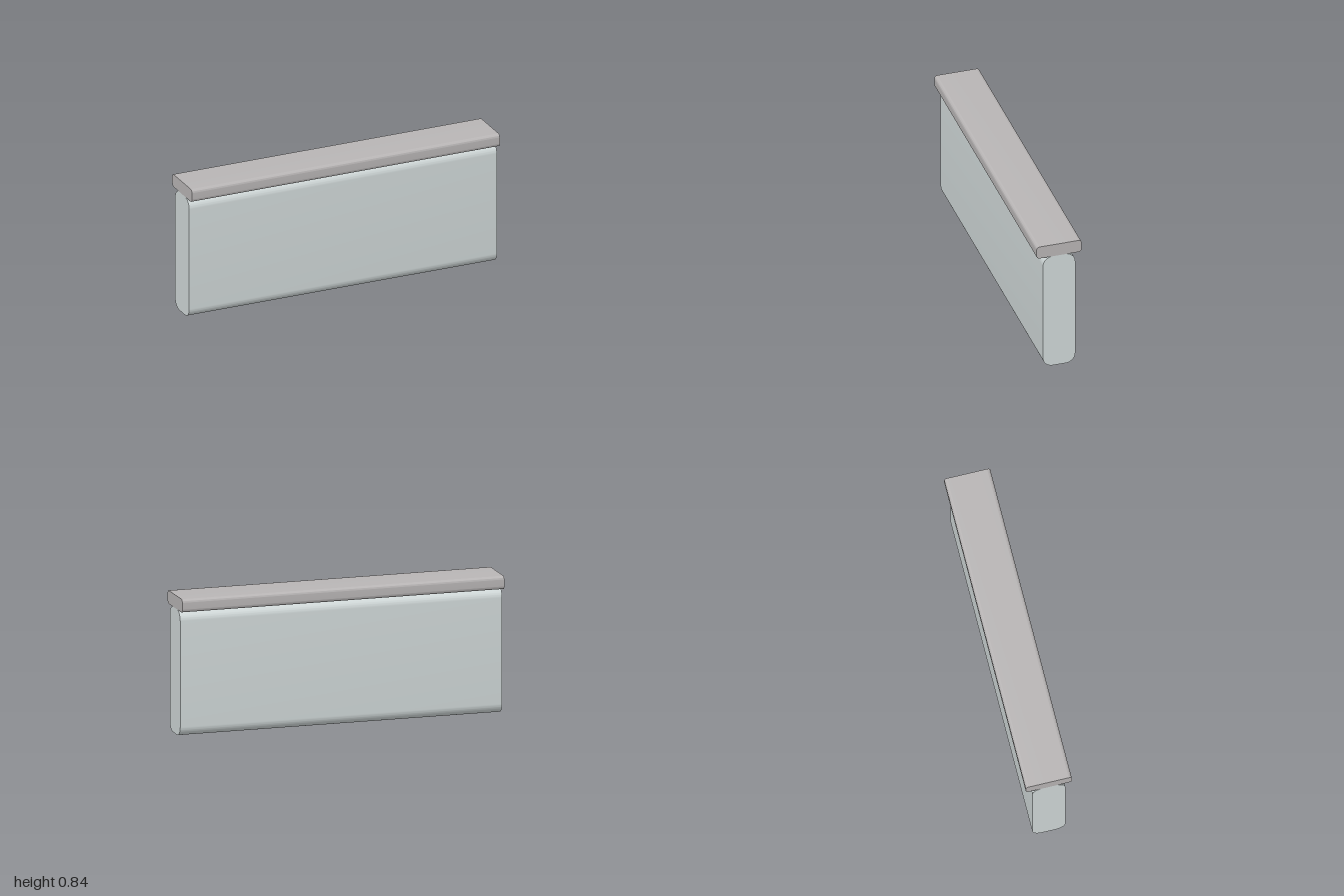
import * as THREE from 'three';
import { toCreasedNormals } from 'three/addons/utils/BufferGeometryUtils.js';

const LENGTH = 2;

// Cross-section with four rounded corners, centred on z and standing on y0
function roundedProfile(width, y0, y1, r) {
  const w = width / 2;
  const s = new THREE.Shape();
  s.moveTo(-w + r, y0);
  s.lineTo(w - r, y0);
  s.absarc(w - r, y0 + r, r, -Math.PI / 2, 0);
  s.lineTo(w, y1 - r);
  s.absarc(w - r, y1 - r, r, 0, Math.PI / 2);
  s.lineTo(-w + r, y1);
  s.absarc(-w + r, y1 - r, r, Math.PI / 2, Math.PI);
  s.lineTo(-w, y0 + r);
  s.absarc(-w + r, y0 + r, r, Math.PI, Math.PI * 1.5);
  return s;
}

// Bar running along x with flat ends
function bar(name, color, width, y0, y1, r) {
  const extruded = new THREE.ExtrudeGeometry(roundedProfile(width, y0, y1, r), {
    depth: LENGTH, bevelEnabled: false, curveSegments: 8,
  });
  extruded.translate(0, 0, -LENGTH / 2).rotateY(Math.PI / 2);
  const mesh = new THREE.Mesh(
    toCreasedNormals(extruded, Math.PI / 6),
    new THREE.MeshStandardMaterial({ color }),
  );
  mesh.name = name;
  return mesh;
}

export function createModel() {
  const model = new THREE.Group();
  model.name = 'wall';
  // Upright wall panel
  model.add(bar('wallPanel', 0xd0d8d8, 0.2, 0, 0.76, 0.06));
  // Wider coping along the top
  model.add(bar('coping', 0xb8b5b5, 0.28, 0.76, 0.84, 0.02));
  return model;
}
